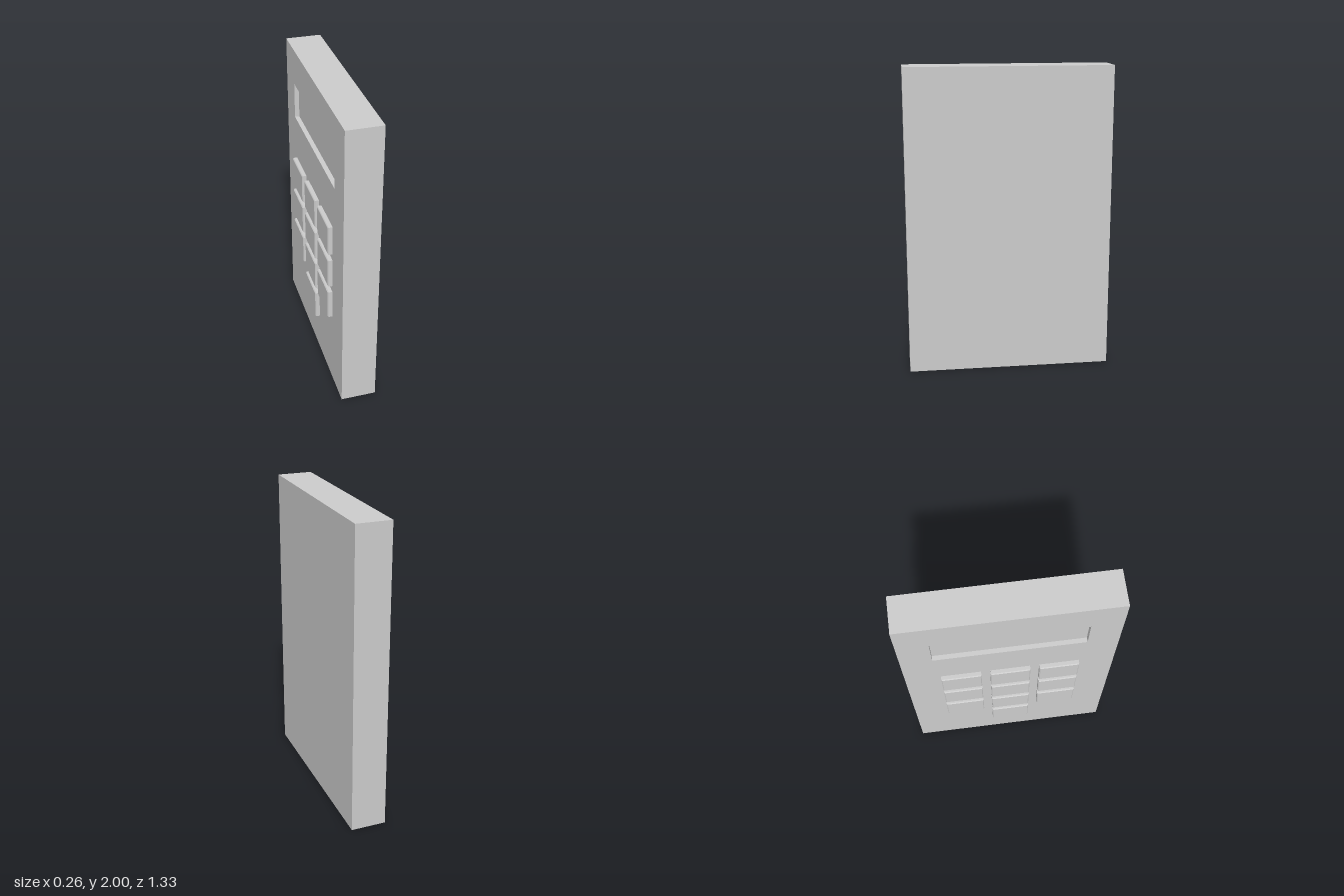
import * as THREE from 'three';

const WIDTH = 1.33, HEIGHT = 2;
const BACK = -0.13, FLOOR = 0.07, FACE = 0.1, KEY_TOP = 0.13;
const BEVEL = 0.006;

// Adds the corners of a rectangle to a shape or path
function rect(path, x0, y0, x1, y1) {
  path.moveTo(x0, y0);
  path.lineTo(x1, y0);
  path.lineTo(x1, y1);
  path.lineTo(x0, y1);
  path.closePath();
  return path;
}

export function createModel() {
  const material = new THREE.MeshStandardMaterial({ color: 0xcccccc, flatShading: true });
  const model = new THREE.Group();
  model.name = 'calculator';

  function add(name, geometry, x, y, z, parent = model) {
    const mesh = new THREE.Mesh(geometry, material);
    mesh.name = name;
    mesh.position.set(x, y, z);
    parent.add(mesh);
  }

  // Solid body up to the floor of the display recess
  add('body', new THREE.BoxGeometry(WIDTH, HEIGHT, FLOOR - BACK), 0, HEIGHT / 2, (FLOOR + BACK) / 2);

  // Face plate with the display window cut out
  const plate = rect(new THREE.Shape(), -WIDTH / 2, 0, WIDTH / 2, HEIGHT);
  plate.holes.push(rect(new THREE.Path(), -0.47, 1.523, 0.47, 1.763));
  add('facePlate', new THREE.ExtrudeGeometry(plate, { depth: FACE - FLOOR, bevelEnabled: false }), 0, 0, FLOOR);

  // Keys with a narrow chamfer, three rows of three and one below, set slightly into the plate
  const keyGeometry = new THREE.ExtrudeGeometry(
    rect(new THREE.Shape(), -0.127, -0.101, 0.127, 0.101),
    { depth: KEY_TOP - FACE, bevelThickness: BEVEL, bevelSize: BEVEL, bevelOffset: -BEVEL, bevelSegments: 1 }
  );
  const keys = new THREE.Group();
  keys.name = 'keys';
  for (let row = 0; row < 4; row++) {
    for (let col = -1; col <= 1; col++) {
      if (row === 0 && col !== 0) continue;
      add('key', keyGeometry, col * 0.312, 0.382 + row * 0.2485, FACE - BEVEL, keys);
    }
  }
  model.add(keys);

  // Turn the face towards -x
  model.rotation.y = -Math.PI / 2;
  const group = new THREE.Group();
  group.add(model);
  return group;
}
